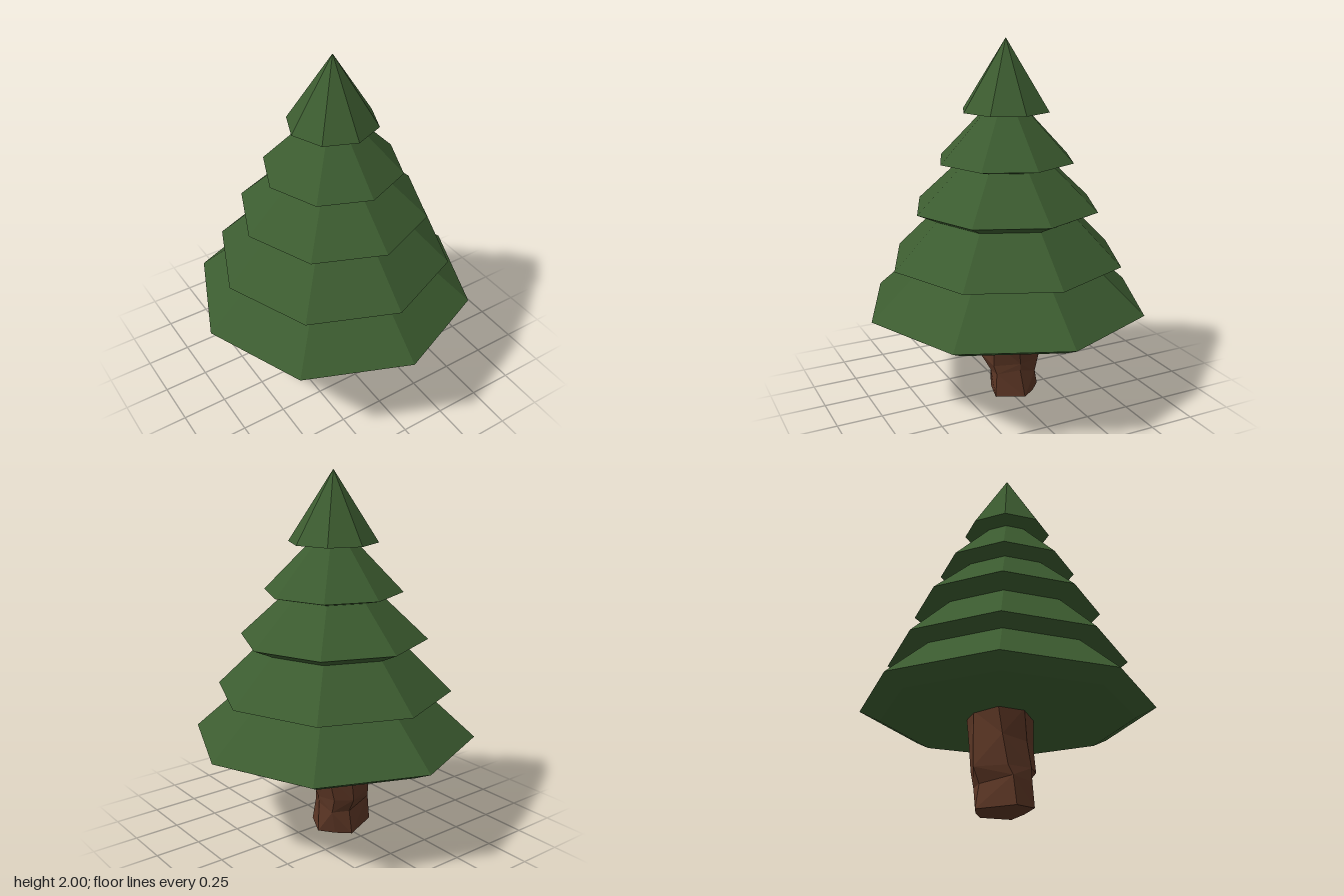
import * as THREE from 'three';

const green = new THREE.MeshStandardMaterial({ name: 'pineGreen', color: 0x3c5c30 });
const brown = new THREE.MeshStandardMaterial({ name: 'barkBrown', color: 0x5a3524 });

// Split every face apart so each one is shaded flat
function faceted(geometry) {
  const g = geometry.index ? geometry.toNonIndexed() : geometry;
  g.computeVertexNormals();
  return g;
}

function part(name, geometry, material) {
  const mesh = new THREE.Mesh(faceted(geometry), material);
  mesh.name = name;
  return mesh;
}

// Trunk cross-sections, each corner as [x, y, z], running front -> +x -> back
const trunkRings = [
  [[0.075, 0, 0.1], [0.148, 0, -0.05], [0.09, 0, -0.13], [0.02, 0, -0.194], [-0.184, 0, -0.104], [-0.19, 0, 0.01], [-0.06, 0, 0.065]],
  [[0.06, 0.13, 0.085], [0.125, 0.16, -0.03], [0.11, 0.13, -0.13], [0.02, 0.13, -0.17], [-0.165, 0.15, -0.11], [-0.185, 0.13, 0], [-0.01, 0.13, 0.09]],
  [[0.05, 0.18, 0.1], [0.13, 0.2, -0.03], [0.11, 0.21, -0.15], [0.02, 0.21, -0.21], [-0.15, 0.2, -0.13], [-0.18, 0.2, 0], [-0.08, 0.22, 0.13]],
  [[0.08, 0.34, 0.11], [0.17, 0.33, 0], [0.14, 0.36, -0.14], [0.03, 0.33, -0.205], [-0.13, 0.36, -0.15], [-0.16, 0.34, -0.01], [-0.07, 0.36, 0.122]],
  [[0.1, 0.51, 0.1], [0.18, 0.51, 0], [0.15, 0.51, -0.15], [0.04, 0.51, -0.195], [-0.12, 0.51, -0.17], [-0.165, 0.51, -0.03], [-0.08, 0.51, 0.115]],
];

function trunkGeometry() {
  const n = trunkRings[0].length;
  const points = [];
  for (let k = 0; k < trunkRings.length - 1; k++) {
    for (let i = 0; i < n; i++) {
      const j = (i + 1) % n;
      const a = trunkRings[k][i], b = trunkRings[k][j];
      const c = trunkRings[k + 1][j], d = trunkRings[k + 1][i];
      // Alternate the diagonal for a rough-hewn look
      if ((i + k) % 2) points.push(a, b, c, a, c, d);
      else points.push(a, b, d, b, c, d);
    }
  }
  // Underside
  for (let i = 0; i < n; i++) {
    points.push([-0.03, 0, -0.04], trunkRings[0][(i + 1) % n], trunkRings[0][i]);
  }
  const g = new THREE.BufferGeometry();
  g.setAttribute('position', new THREE.Float32BufferAttribute(points.flat(), 3));
  return g;
}

// Foliage tiers: lower radius and height, rim radius and height
const tiers = [
  [0.675, 0.5, 0.785, 0.555],
  [0.535, 0.78, 0.65, 0.815],
  [0.405, 1.055, 0.515, 1.105],
  [0.27, 1.333, 0.378, 1.36],
  [0.137, 1.608, 0.243, 1.622],
];

export function createModel() {
  const tree = new THREE.Group();
  tree.name = 'pineTree';
  tree.add(part('trunk', trunkGeometry(), brown));

  // Eight-sided tiers, each running up to the foot of the next
  const foliage = new THREE.Group();
  foliage.name = 'foliage';
  tiers.forEach(([r0, y0, r1, y1], i) => {
    const next = tiers[i + 1];
    const profile = [[r0, y0], [r1, y1], next ? [next[0], next[1]] : [0, 2]];
    if (i === 0) profile.unshift([0, y0]);
    const points = profile.map(([r, y]) => new THREE.Vector2(r, y));
    foliage.add(part('foliageTier' + (i + 1), new THREE.LatheGeometry(points, 8), green));
  });
  tree.add(foliage);
  return tree;
}
